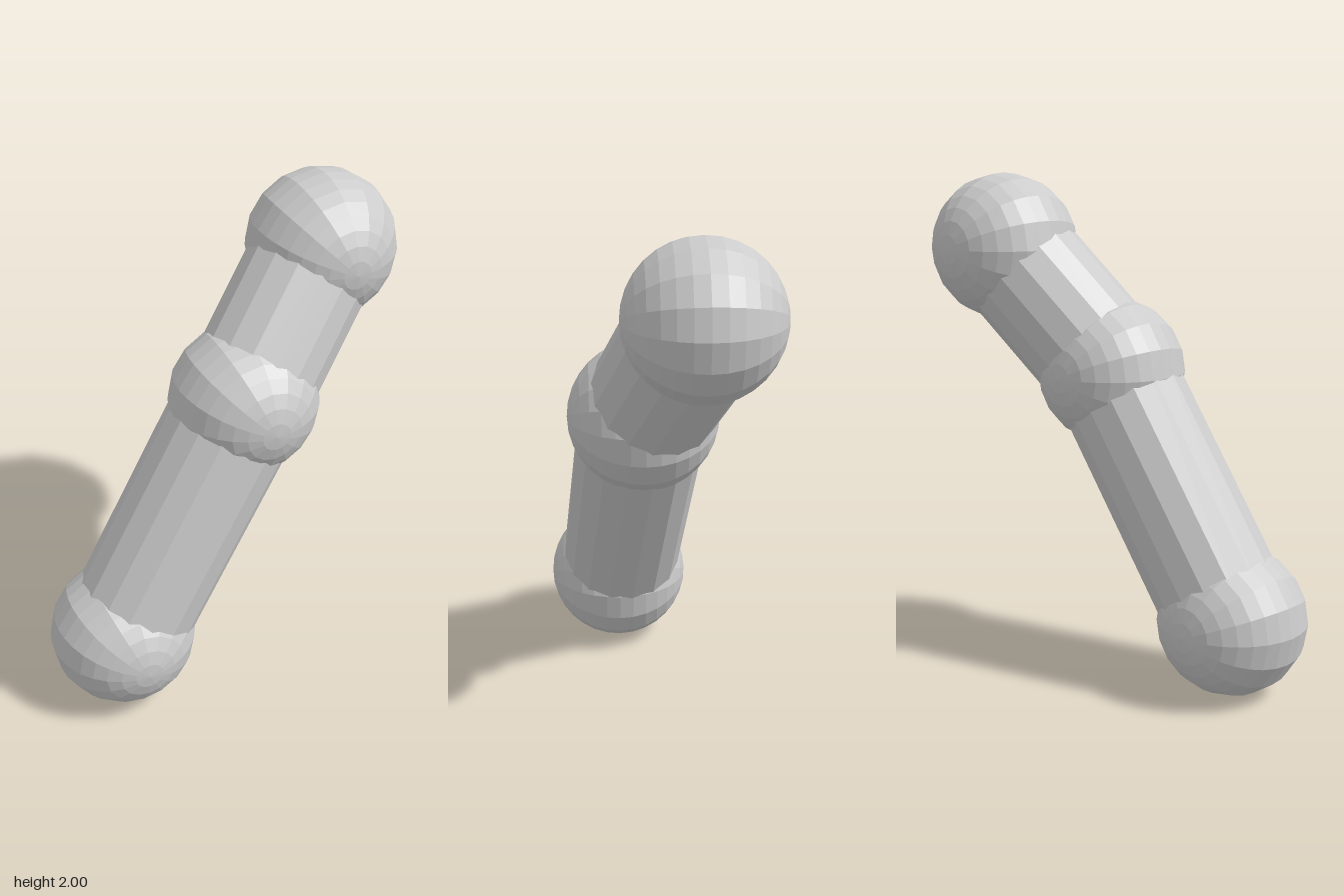
import * as THREE from 'three';

const BALL_RADIUS = 0.295;
const TUBE_RADIUS = 0.253;
const SIDES = 16;

export function createModel() {
  const group = new THREE.Group();
  const material = new THREE.MeshStandardMaterial({ color: 0xcccccc, flatShading: true });

  // Joint centres, from the lower end to the upper end
  const lower = new THREE.Vector3(-0.5, 0.295, 0.14);
  const middle = new THREE.Vector3(0.08, 1.222, 0.05);
  const upper = new THREE.Vector3(0.5, 1.705, -0.145);

  // Ball joints, with their poles along z
  const ball = new THREE.SphereGeometry(BALL_RADIUS, SIDES, SIDES).rotateX(Math.PI / 2);
  const addBall = (name, centre) => {
    const mesh = new THREE.Mesh(ball, material);
    mesh.name = name;
    mesh.position.copy(centre);
    group.add(mesh);
  };
  addBall('lowerBall', lower);
  addBall('middleBall', middle);
  addBall('upperBall', upper);

  // Straight segments running from one ball centre to the next
  const addSegment = (name, from, to) => {
    const axis = to.clone().sub(from);
    const tube = new THREE.CylinderGeometry(TUBE_RADIUS, TUBE_RADIUS, axis.length(), SIDES);
    tube.rotateX(Math.PI / 2);
    const mesh = new THREE.Mesh(tube, material);
    mesh.name = name;
    mesh.position.copy(from).add(to).multiplyScalar(0.5);
    mesh.quaternion.setFromUnitVectors(new THREE.Vector3(0, 0, 1), axis.normalize());
    group.add(mesh);
  };
  addSegment('lowerSegment', lower, middle);
  addSegment('upperSegment', middle, upper);

  return group;
}
